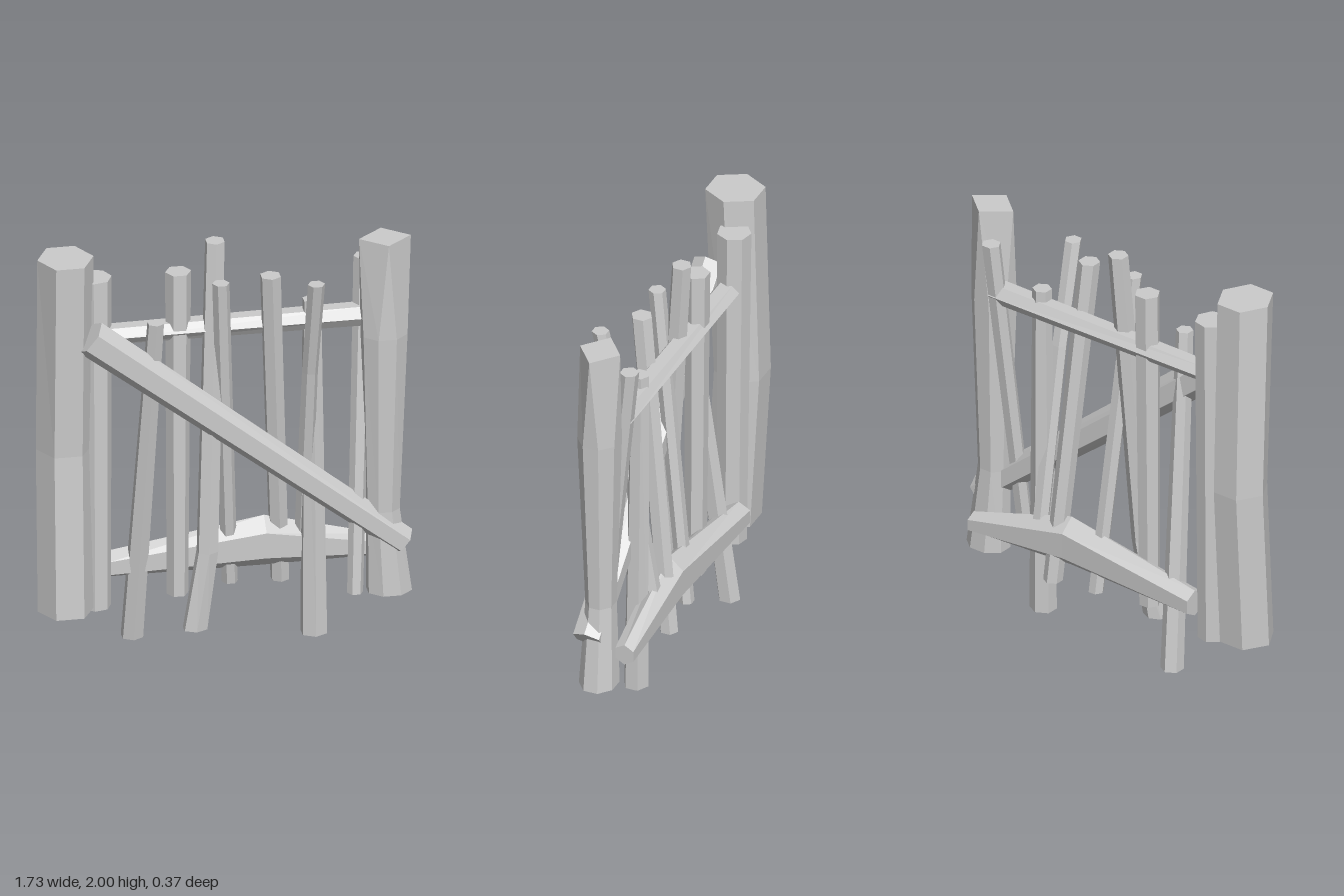
import * as THREE from 'three';

const X = new THREE.Vector3(1, 0, 0);
const Y = new THREE.Vector3(0, 1, 0);
const Z = new THREE.Vector3(0, 0, 1);
const material = new THREE.MeshStandardMaterial({ color: 0xcccccc, flatShading: true });

// Faceted log lofted through stations [x, y, z, radiusU, radiusV], with cross-sections
// lying in the plane of u and v. snapEnd folds the last ring's corners onto a diamond.
function log(name, stations, { sides = 6, phase = 0, u = X, v = Z, snapEnd = false } = {}) {
  const rings = stations.map(([x, y, z, ru, rv = ru], s) => {
    const ring = [];
    for (let i = 0; i < sides; i++) {
      let a = phase + (i / sides) * Math.PI * 2;
      if (snapEnd && s === stations.length - 1) a = Math.floor(i / 2) * Math.PI / 2;
      ring.push(new THREE.Vector3(x, y, z)
        .addScaledVector(u, Math.cos(a) * ru)
        .addScaledVector(v, Math.sin(a) * rv));
    }
    return ring;
  });
  const centres = stations.map(([x, y, z]) => new THREE.Vector3(x, y, z));
  const last = rings.length - 1;
  const along = centres[last].clone().sub(centres[0]);
  const flip = new THREE.Vector3().crossVectors(u, v).dot(along) < 0;
  const positions = [];
  const tri = (a, b, c) => {
    if (a.distanceTo(b) < 1e-5 || b.distanceTo(c) < 1e-5 || a.distanceTo(c) < 1e-5) return;
    for (const p of flip ? [a, c, b] : [a, b, c]) positions.push(p.x, p.y, p.z);
  };
  for (let i = 0; i < sides; i++) {
    const j = (i + 1) % sides;
    for (let s = 0; s < last; s++) {
      tri(rings[s][i], rings[s][j], rings[s + 1][j]);
      tri(rings[s][i], rings[s + 1][j], rings[s + 1][i]);
    }
    tri(centres[0], rings[0][j], rings[0][i]);
    tri(centres[last], rings[last][i], rings[last][j]);
  }
  const geometry = new THREE.BufferGeometry();
  geometry.setAttribute('position', new THREE.Float32BufferAttribute(positions, 3));
  geometry.computeVertexNormals();
  const mesh = new THREE.Mesh(geometry, material);
  mesh.name = name;
  return mesh;
}

export function createModel() {
  const group = new THREE.Group();
  group.name = 'stickFence';

  // Main posts
  group.add(log('thickPost', [
    [-0.735, 0.235, 0, 0.13, 0.13],
    [-0.735, 1.03, -0.045, 0.13, 0.13],
    [-0.735, 1.995, -0.01, 0.13, 0.14],
  ]));
  group.add(log('innerPost', [
    [-0.585, 0.215, -0.06, 0.07],
    [-0.59, 1.86, -0.07, 0.08],
  ], { sides: 7 }));
  group.add(log('taperedPost', [
    [0.76, 0.205, -0.01, 0.108, 0.09],
    [0.73, 0.62, -0.005, 0.08, 0.07],
    [0.735, 1.5, 0, 0.11, 0.1],
    [0.74, 1.975, -0.005, 0.12, 0.1],
  ], { sides: 8, phase: -Math.PI / 8, snapEnd: true }));

  // Uneven pickets, each listed from foot to top
  const pickets = [
    [[-0.405, 0.015, -0.13, 0.054], [-0.33, 1.665, 0.055, 0.04]],
    [[-0.21, 0.25, -0.05, 0.05], [-0.205, 1.86, -0.06, 0.06]],
    [[-0.15, 0.12, 0.065, 0.06, 0.048], [-0.09, 0.5, 0.05, 0.052], [-0.035, 2, -0.06, 0.047]],
    [[0.045, 0.255, -0.12, 0.037], [-0.03, 1.84, 0.06, 0.04]],
    [[0.28, 0.24, -0.14, 0.045], [0.205, 1.845, 0.03, 0.05]],
    [[0.38, 0.4, -0.12, 0.04], [0.385, 1.35, 0.04, 0.037], [0.395, 1.84, 0.15, 0.04]],
    [[0.418, 0.005, -0.04, 0.065, 0.06], [0.412, 1.67, -0.055, 0.045]],
    [[0.59, 0.235, 0.06, 0.037], [0.66, 1.84, -0.115, 0.045]],
  ];
  pickets.forEach((stations, i) => {
    group.add(log(`picket${i + 1}`, stations, { phase: i % 2 ? 0 : Math.PI / 6 }));
  });

  // Cross rails behind the pickets
  group.add(log('topRail', [
    [-0.55, 1.572, -0.06, 0.06, 0.045],
    [0.67, 1.572, -0.065, 0.062, 0.055],
  ], { u: Z, v: Y }));
  group.add(log('bottomRail', [
    [-0.53, 0.39, -0.12, 0.066, 0.064],
    [0.2, 0.455, -0.105, 0.08, 0.125],
    [0.75, 0.375, -0.13, 0.052, 0.052],
  ], { u: Z, v: Y, phase: Math.PI / 6 }));

  // Diagonal brace across the front
  const braceNormal = new THREE.Vector3(1.17, 1.46, 0).normalize();
  group.add(log('diagonalBrace', [
    [-0.637, 1.625, 0.07, 0.088, 0.078],
    [0.82, 0.458, 0.02, 0.066, 0.074],
  ], { u: braceNormal, v: Z }));

  return group;
}
